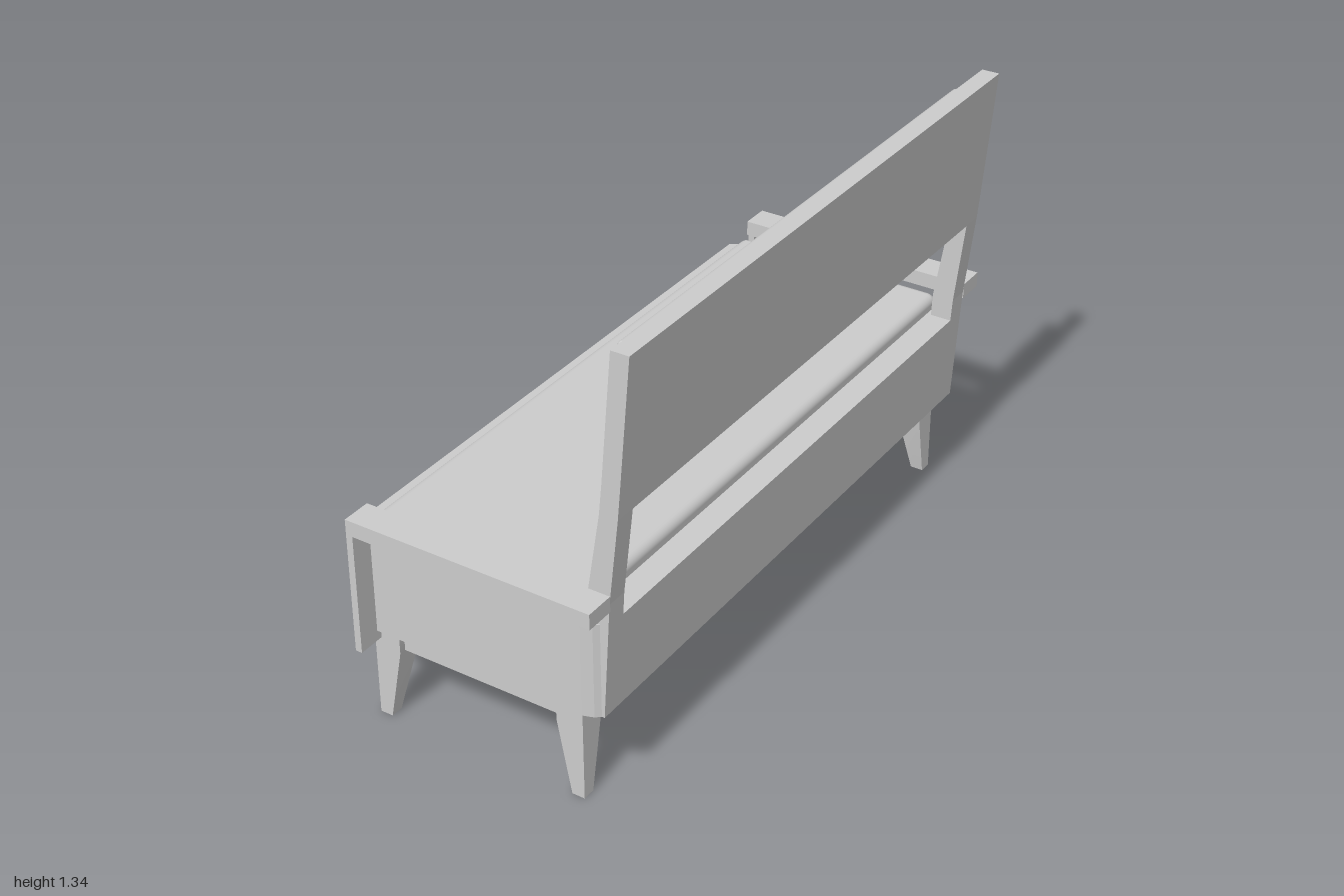
import * as THREE from 'three';
import { RoundedBoxGeometry } from 'three/addons/geometries/RoundedBoxGeometry.js';

const material = new THREE.MeshStandardMaterial({ color: 0xcccccc });

export function createModel() {
  const bench = new THREE.Group();
  bench.name = 'bench';

  const add = (name, geometry, x = 0, y = 0, z = 0) => {
    const mesh = new THREE.Mesh(geometry, material);
    mesh.name = name;
    mesh.position.set(x, y, z);
    bench.add(mesh);
    return mesh;
  };
  // Box given by its limits on each axis
  const box = (name, [x0, x1], [y0, y1], [z0, z1]) =>
    add(name, new THREE.BoxGeometry(x1 - x0, y1 - y0, z1 - z0),
      (x0 + x1) / 2, (y0 + y1) / 2, (z0 + z1) / 2);

  // Seat box with softened corners: plan outline extruded upwards
  const plan = [[-0.435, 0.915], [-0.415, 0.925], [-0.38, 0.935], [0.29, 0.935], [0.32, 0.925], [0.337, 0.91]];
  const outline = [...plan, ...plan.map(([x, z]) => [x, -z]).reverse()];
  const seatBox = new THREE.ExtrudeGeometry(
    new THREE.Shape(outline.map(([x, z]) => new THREE.Vector2(x, z))),
    { depth: 0.28, bevelEnabled: false });
  seatBox.rotateX(-Math.PI / 2);
  add('seatBox', seatBox, 0, 0.28, 0);

  // Seat cushion
  add('seatCushion', new RoundedBoxGeometry(0.665, 0.1, 1.83, 3, 0.025), -0.0525, 0.552, 0);

  // Backrest: slices of one leaning side profile [y, front x, rear x]
  const profile = [[0.28, 0.285, 0.342], [0.63, 0.298, 0.363], [0.88, 0.338, 0.391],
    [0.97, 0.347, 0.399], [1.335, 0.378, 0.43]];
  const profileAt = (y) => {
    const i = Math.max(1, profile.findIndex((p) => p[0] >= y));
    const [a, b] = [profile[i - 1], profile[i]];
    const t = (y - a[0]) / (b[0] - a[0]);
    return a.map((v, k) => v + (b[k] - v) * t);
  };
  const backSlice = (name, y0, y1, z0, z1) => {
    const rows = [profileAt(y0), ...profile.filter((p) => p[0] > y0 && p[0] < y1), profileAt(y1)];
    const points = [
      ...rows.map(([y, , rear]) => new THREE.Vector2(rear, y)),
      ...rows.map(([y, front]) => new THREE.Vector2(front, y)).reverse(),
    ];
    add(name, new THREE.ExtrudeGeometry(new THREE.Shape(points),
      { depth: z1 - z0, bevelEnabled: false }), 0, 0, z0);
  };
  backSlice('lowerBackPanel', 0.28, 0.563, -0.85, 0.85);
  backSlice('upperBackPanel', 0.88, 1.335, -0.85, 0.85);
  backSlice('backPost', 0.28, 1.335, 0.85, 0.913);
  backSlice('backPost', 0.28, 1.335, -0.913, -0.85);

  // Back cushion, leaning with the upper panel
  const backCushion = add('backCushion', new RoundedBoxGeometry(0.05, 0.348, 1.66, 3, 0.014), 0.343, 1.13, 0);
  backCushion.rotation.z = -0.1;

  // Leg tapering on its two inner sides
  const leg = (sx, sz) => {
    const geometry = new THREE.BoxGeometry(0.08, 0.28, 0.08, 1, 2, 1);
    const p = geometry.attributes.position;
    for (let i = 0; i < p.count; i++) {
      const y = p.getY(i);
      // straight at the rail, then narrowing to the foot
      const row = y > 0.1 ? 0.28 : y > -0.1 ? 0.22 : 0;
      const width = row === 0 ? 0.038 : 0.08;
      p.setXYZ(i,
        p.getX(i) * sx > 0 ? sx * 0.04 : sx * (0.04 - width),
        row,
        p.getZ(i) * sz > 0 ? sz * 0.04 : sz * (0.04 - width));
    }
    geometry.computeVertexNormals();
    return geometry;
  };

  for (const s of [-1, 1]) {
    const span = (a, b) => (s > 0 ? [a, b] : [-b, -a]);
    // Armrest and its thin front upright
    box('armrest', [-0.372, 0.365], [0.61, 0.655], span(0.913, 1));
    box('armrestUpright', [-0.372, -0.352], [0.25, 0.61], span(0.92, 1));
    // Legs and the end rail between them
    add('frontLeg', leg(-1, s), -0.333, 0, s * 0.88);
    add('backLeg', leg(1, s), 0.24, 0, s * 0.88);
    box('endRail', [-0.295, 0.2], [0.22, 0.28], span(0.86, 0.9));
  }

  // Long rails under the seat box
  box('frontRail', [-0.355, -0.315], [0.22, 0.28], [-0.845, 0.845]);
  box('backRail', [0.22, 0.26], [0.22, 0.28], [-0.845, 0.845]);

  return bench;
}
